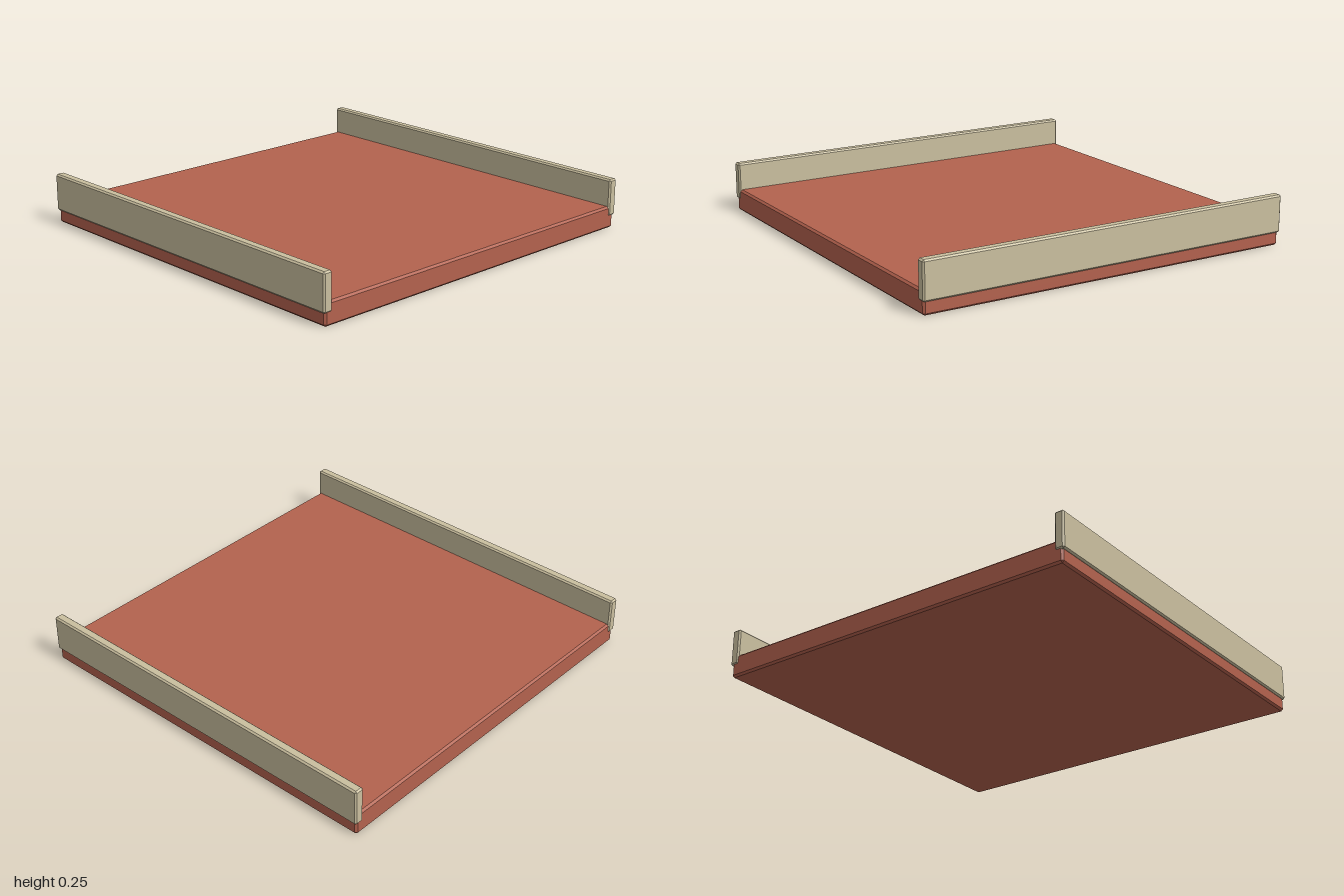
import * as THREE from 'three';
import { ConvexGeometry } from 'three/addons/geometries/ConvexGeometry.js';

// Box with flat chamfers on every edge, centred on the origin
function chamferedBox(w, h, d, c) {
  const half = [w / 2, h / 2, d / 2];
  const points = [];
  for (const sx of [-1, 1]) for (const sy of [-1, 1]) for (const sz of [-1, 1]) {
    const signs = [sx, sy, sz];
    for (let axis = 0; axis < 3; axis++) {
      const p = half.map((v, i) => signs[i] * (i === axis ? v : v - c));
      points.push(new THREE.Vector3(...p));
    }
  }
  return new ConvexGeometry(points);
}

export function createModel() {
  const model = new THREE.Group();
  model.name = 'railedPlatform';

  const terracotta = new THREE.MeshStandardMaterial({ color: 0xb3624e });
  terracotta.name = 'terracotta';
  const sandstone = new THREE.MeshStandardMaterial({ color: 0xcabf9f });
  sandstone.name = 'sandstone';

  // Floor slab
  const slab = new THREE.Mesh(chamferedBox(1.98, 0.115, 1.98, 0.01), terracotta);
  slab.name = 'floorSlab';
  slab.position.y = 0.0575;
  model.add(slab);

  // Low side walls, sunk into the slab and standing slightly proud of it
  const wallGeometry = chamferedBox(0.05, 0.19, 1.99, 0.008);
  for (const [name, side] of [['leftWall', 1], ['rightWall', -1]]) {
    const wall = new THREE.Mesh(wallGeometry, sandstone);
    wall.name = name;
    wall.position.set(side * 0.975, 0.16, 0);
    model.add(wall);
  }

  return model;
}
